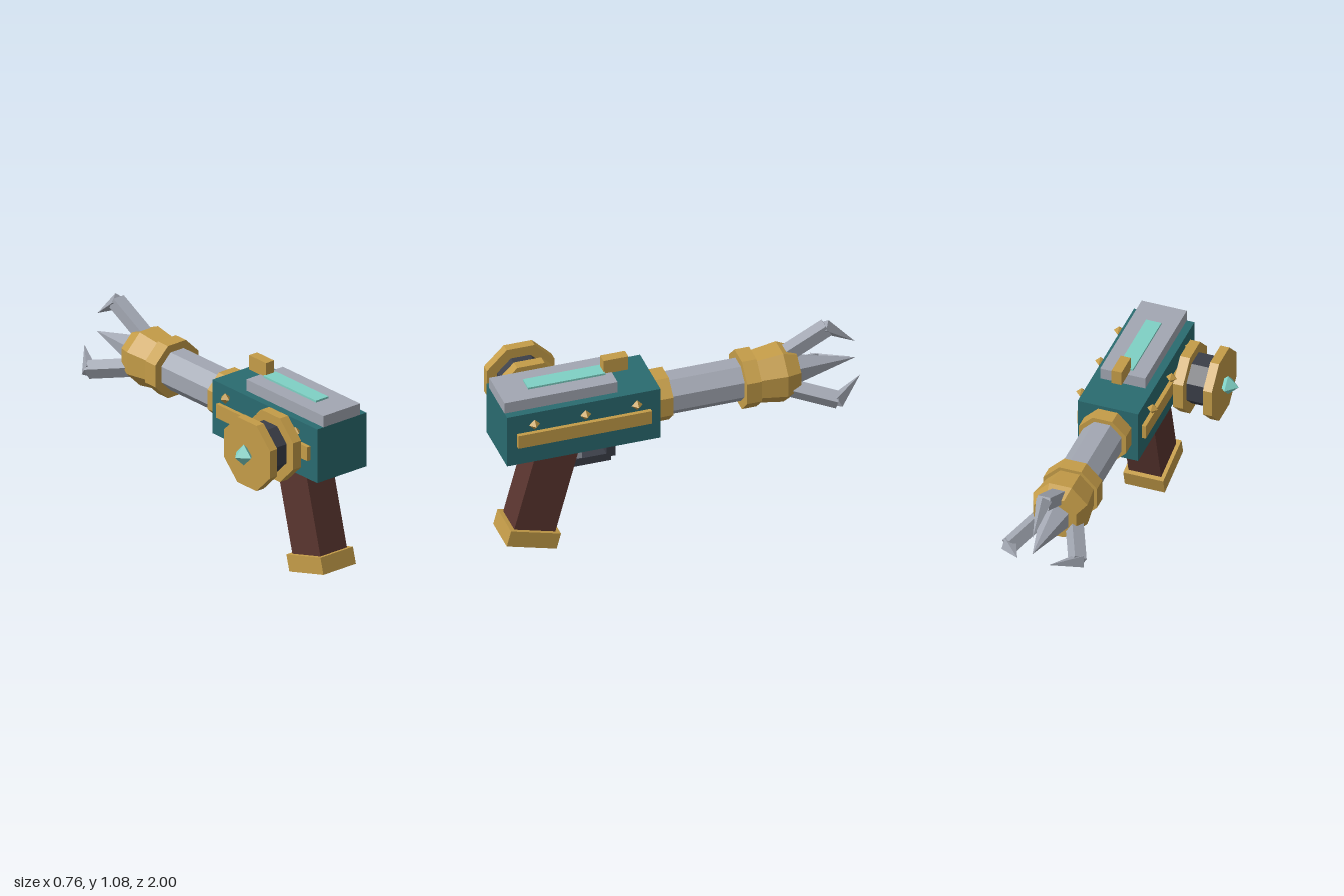
import * as THREE from 'three';

const mat = (name, color) => {
  const m = new THREE.MeshStandardMaterial({ color });
  m.name = name;
  return m;
};

export function createModel() {
  const gold = mat('gold', 0xc49c48), teal = mat('teal', 0x2a6b70), steel = mat('steel', 0xa2a7b2);
  const dark = mat('charcoal', 0x3b3e48), wood = mat('brown', 0x5a352f), glow = mat('aqua', 0x7fd1c5);
  const root = new THREE.Group();
  root.name = 'clawBlaster';
  const CX = 0.14, CY = 0.786; // barrel axis

  // Faceted mesh: every face gets its own normal
  function add(parent, name, geometry, material, x = 0, y = 0, z = 0) {
    const g = geometry.index ? geometry.toNonIndexed() : geometry;
    g.computeVertexNormals();
    const mesh = new THREE.Mesh(g, material);
    mesh.name = name;
    mesh.position.set(x, y, z);
    parent.add(mesh);
    return mesh;
  }
  // Box given by its limits on each axis
  const box = (name, m, x0, x1, y0, y1, z0, z1) =>
    add(root, name, new THREE.BoxGeometry(x1 - x0, y1 - y0, z1 - z0), m,
      (x0 + x1) / 2, (y0 + y1) / 2, (z0 + z1) / 2);
  // Octagonal prism with a flat side up, along z; rFront is the radius at zFront
  const tubeZ = (name, m, rFront, rBack, zFront, zBack) =>
    add(root, name, new THREE.CylinderGeometry(rFront, rBack, zFront - zBack, 8)
      .rotateY(Math.PI / 8).rotateX(Math.PI / 2), m, CX, CY, (zFront + zBack) / 2);
  // Octagonal prism along x
  const discX = (name, m, r, x0, x1) =>
    add(root, name, new THREE.CylinderGeometry(r, r, x1 - x0, 8)
      .rotateY(Math.PI / 8).rotateZ(Math.PI / 2), m, (x0 + x1) / 2, CY, 0.738);

  // Body and top
  box('body', teal, -0.03, 0.31, 0.63, 0.94, 0.145, 1);
  box('topPlate', steel, 0.013, 0.267, 0.94, 1.005, 0.37, 1);
  box('glowStrip', glow, 0.097, 0.183, 1.005, 1.016, 0.41, 0.84);
  box('sight', gold, 0.112, 0.168, 1.002, 1.085, 0.277, 0.415);

  // Side rails and studs
  for (const s of [-1, 1]) {
    const x = CX + s * 0.18;
    box('sideRail', gold, x - 0.013, x + 0.013, 0.745, 0.825, 0.2, 0.945);
    for (const z of [0.285, 0.572, 0.857])
      add(root, 'stud', new THREE.OctahedronGeometry(0.031), gold, CX + s * 0.2, 0.886, z);
  }

  // Tilted grip with its end cap
  const grip = new THREE.Group();
  grip.name = 'grip';
  grip.position.set(CX, 0.0855, 0.8315);
  grip.rotation.x = -0.26;
  root.add(grip);
  add(grip, 'gripCap', new THREE.BoxGeometry(0.225, 0.094, 0.288), gold);
  add(grip, 'gripHandle', new THREE.BoxGeometry(0.184, 0.6, 0.237), wood, 0, 0.32, 0);

  // Trigger and guard
  box('trigger', steel, CX - 0.025, CX + 0.025, 0.48, 0.64, 0.535, 0.58);
  box('guardBottom', dark, CX - 0.03, CX + 0.03, 0.446, 0.491, 0.375, 0.65);
  box('guardFront', dark, CX - 0.03, CX + 0.03, 0.47, 0.61, 0.35, 0.4);

  // Side reel
  discX('reelInnerFlange', gold, 0.199, -0.131, -0.075);
  discX('reelDrum', dark, 0.142, -0.246, -0.13);
  discX('reelOuterFlange', gold, 0.204, -0.295, -0.245);
  add(root, 'reelGem', new THREE.OctahedronGeometry(0.06), glow, -0.317, CY, 0.738);

  // Barrel and muzzle
  tubeZ('barrelCollar', gold, 0.144, 0.144, 0.146, 0.06);
  tubeZ('barrel', steel, 0.118, 0.118, 0.07, -0.36);
  tubeZ('muzzleRing', gold, 0.163, 0.163, -0.345, -0.427);
  tubeZ('muzzleFlare', gold, 0.143, 0.165, -0.425, -0.575);
  tubeZ('muzzleTaper', gold, 0.165, 0.13, -0.575, -0.657);
  add(root, 'centreSpike', new THREE.ConeGeometry(0.09, 0.35, 6).rotateX(-Math.PI / 2),
    steel, CX, CY, -0.825);

  // Three hooked claws; each is built pointing up, then turned about the barrel
  for (let i = 0; i < 3; i++) {
    const claw = new THREE.Group();
    claw.name = 'claw';
    claw.position.set(CX, CY, 0);
    claw.rotation.z = i * Math.PI * 2 / 3;
    root.add(claw);
    // part running from (r0, z0) to (r1, z1)
    const along = (name, make, r0, z0, r1, z1) => {
      const m = add(claw, name, make(Math.hypot(r1 - r0, z1 - z0)), steel, 0, (r0 + r1) / 2, (z0 + z1) / 2);
      m.rotation.x = Math.atan2(z1 - z0, r1 - r0);
    };
    along('clawArm', (l) => new THREE.BoxGeometry(0.072, l, 0.07), 0.102, -0.6, 0.225, -0.838);
    along('clawTip', (l) => new THREE.ConeGeometry(0.044, l, 4), 0.234, -0.822, 0.104, -0.995);
  }
  return root;
}
